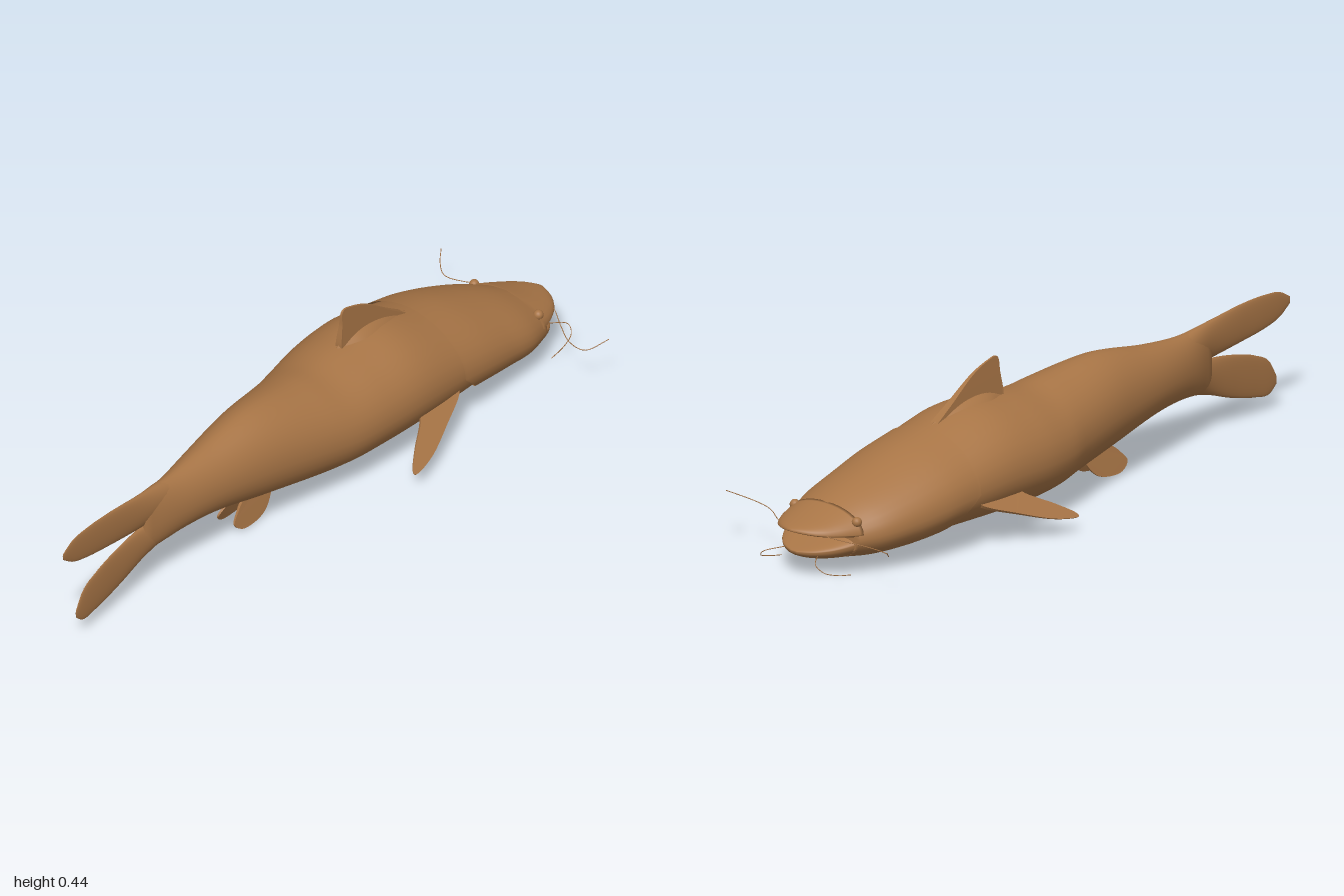
import * as THREE from 'three';

const skin = new THREE.MeshStandardMaterial({ color: 0xa87546, side: THREE.DoubleSide });
skin.name = 'brown skin';

// Skin a row of stations [z, centreX, halfWidth, top, bottom] with rounded sections.
// mid: height of the widest point; up/low: roundness of each half; shear: pulls the lower rear edge forward.
function loft(name, stations, { mid = 0.45, up = 1.1, low = 0.8, shear = 0, steps = 40, sides = 36, capEnd = true } = {}) {
  const spline = new THREE.CubicInterpolant(
    stations.map(s => s[0]), stations.flatMap(s => s.slice(1)), 4);
  const z0 = stations[0][0], z1 = stations[stations.length - 1][0];
  const pos = [], idx = [];
  for (let i = 0; i <= steps; i++) {
    const t = i / steps, z = z0 + (z1 - z0) * t;
    const [cx, hw, top, bottom] = Array.from(spline.evaluate(z));
    const cy = bottom + (top - bottom) * mid;
    for (let j = 0; j < sides; j++) {
      const a = j / sides * Math.PI * 2, c = Math.cos(a), s = Math.sin(a);
      const e = s > 0 ? up : low;
      const x = cx + hw * Math.sign(c) * Math.abs(c) ** e;
      const y = cy + s * (s > 0 ? top - cy : cy - bottom);
      pos.push(x, y, z - shear * t * t * Math.max(0, -s));
    }
  }
  for (let i = 0; i < steps; i++) for (let j = 0; j < sides; j++) {
    const a = i * sides + j, b = i * sides + (j + 1) % sides;
    idx.push(a, b, b + sides, a, b + sides, a + sides);
  }
  // End caps
  const cap = (s, ring, flip) => {
    const k = pos.length / 3;
    pos.push(s[1], s[4] + (s[3] - s[4]) * mid, s[0]);
    for (let j = 0; j < sides; j++) {
      const a = ring * sides + j, b = ring * sides + (j + 1) % sides;
      if (flip) idx.push(k, b, a); else idx.push(k, a, b);
    }
  };
  cap(stations[0], 0, true);
  if (capEnd) cap(stations[stations.length - 1], steps, false);
  const g = new THREE.BufferGeometry();
  g.setAttribute('position', new THREE.Float32BufferAttribute(pos, 3));
  g.setIndex(idx);
  g.computeVertexNormals();
  const mesh = new THREE.Mesh(g, skin);
  mesh.name = name;
  return mesh;
}

// Flat fin: outline points are [z, distance outward], thinning towards the tip.
function fin(name, points, origin, outward, thick, reach) {
  const shape = new THREE.Shape();
  shape.moveTo(...points[0]);
  shape.splineThru(points.slice(1).map(p => new THREE.Vector2(...p)));
  shape.closePath();
  const g = new THREE.ExtrudeGeometry(shape, { depth: 1, bevelEnabled: false, curveSegments: 28 });
  const p = g.attributes.position;
  for (let i = 0; i < p.count; i++) {
    const t = THREE.MathUtils.clamp(p.getY(i) / reach, 0, 1);
    p.setZ(i, (p.getZ(i) - 0.5) * thick * (1 - 0.8 * t));
  }
  g.computeVertexNormals();
  const X = new THREE.Vector3(0, 0, 1), Y = new THREE.Vector3(...outward).normalize();
  g.applyMatrix4(new THREE.Matrix4().makeBasis(X, Y, X.clone().cross(Y)).setPosition(...origin));
  const mesh = new THREE.Mesh(g, skin);
  mesh.name = name;
  return mesh;
}

function whisker(name, points) {
  const curve = new THREE.CatmullRomCurve3(points.map(p => new THREE.Vector3(...p)));
  const mesh = new THREE.Mesh(new THREE.TubeGeometry(curve, 32, 0.0012, 5), skin);
  mesh.name = name;
  return mesh;
}

export function createModel() {
  const fish = new THREE.Group();
  fish.name = 'catfish';

  // Trunk, tapering to the tail stem
  fish.add(loft('trunk', [
    [-0.66, -0.034, 0.175, 0.262, 0.05],
    [-0.5, -0.035, 0.192, 0.307, 0.048],
    [-0.34, -0.035, 0.2, 0.345, 0.045],
    [-0.2, -0.035, 0.193, 0.338, 0.046],
    [-0.08, -0.028, 0.176, 0.328, 0.052],
    [0, -0.022, 0.157, 0.336, 0.06],
    [0.2, -0.017, 0.117, 0.35, 0.09],
    [0.4, -0.014, 0.079, 0.322, 0.128],
    [0.52, -0.009, 0.055, 0.311, 0.134],
    [0.6, -0.005, 0.036, 0.312, 0.128],
    [0.66, -0.002, 0.016, 0.31, 0.125],
  ], { steps: 60 }));

  // Head shell, its rear edge forming the gill cover
  fish.add(loft('head', [
    [-0.88, -0.008, 0.128, 0.18, 0.044],
    [-0.8, -0.018, 0.163, 0.217, 0.037],
    [-0.7, -0.029, 0.183, 0.255, 0.038],
    [-0.6, -0.034, 0.195, 0.288, 0.041],
    [-0.49, -0.035, 0.199, 0.315, 0.043],
  ], { shear: 0.13, capEnd: false }));

  // Open jaws
  fish.add(loft('upperJaw', [
    [-0.995, 0, 0.012, 0.142, 0.135],
    [-0.985, 0, 0.04, 0.146, 0.131],
    [-0.96, -0.001, 0.077, 0.154, 0.124],
    [-0.92, -0.004, 0.108, 0.167, 0.117],
    [-0.86, -0.01, 0.136, 0.189, 0.108],
  ], { mid: 0.2, up: 0.95, low: 0.5, steps: 16 }));
  fish.add(loft('lowerJaw', [
    [-0.978, 0, 0.012, 0.076, 0.067],
    [-0.965, 0, 0.045, 0.081, 0.059],
    [-0.94, -0.002, 0.08, 0.09, 0.051],
    [-0.91, -0.005, 0.106, 0.101, 0.046],
    [-0.86, -0.01, 0.134, 0.12, 0.042],
  ], { mid: 0.75, up: 0.5, low: 0.9, steps: 16 }));

  // Forked tail
  fish.add(loft('upperTailLobe', [
    [0.48, -0.008, 0.04, 0.3, 0.21],
    [0.58, -0.006, 0.03, 0.312, 0.212],
    [0.68, 0, 0.016, 0.322, 0.215],
    [0.8, 0.005, 0.009, 0.334, 0.227],
    [0.9, 0.008, 0.006, 0.335, 0.241],
    [0.96, 0.01, 0.004, 0.327, 0.258],
    [1, 0.012, 0.002, 0.305, 0.285],
  ], { mid: 0.5, up: 1, low: 1, sides: 24 }));
  fish.add(loft('lowerTailLobe', [
    [0.48, -0.008, 0.04, 0.225, 0.142],
    [0.58, -0.006, 0.03, 0.222, 0.13],
    [0.66, 0, 0.016, 0.215, 0.112],
    [0.76, 0.004, 0.009, 0.2, 0.078],
    [0.86, 0.008, 0.006, 0.172, 0.054],
    [0.92, 0.01, 0.004, 0.138, 0.05],
    [0.945, 0.011, 0.002, 0.095, 0.07],
  ], { mid: 0.5, up: 1, low: 1, sides: 24 }));

  // Fin on the back
  fish.add(fin('dorsalFin', [
    [-0.48, -0.01], [-0.4, 0.042], [-0.315, 0.1], [-0.25, 0.127], [-0.212, 0.13],
    [-0.205, 0.085], [-0.197, 0.03], [-0.2, -0.01],
  ], [-0.035, 0.315, 0], [0, 1, 0], 0.026, 0.13));
  // Low fleshy mound under the back fin
  fish.add(loft('dorsalFinBase', [
    [-0.48, -0.035, 0.01, 0.312, 0.29],
    [-0.36, -0.035, 0.05, 0.355, 0.29],
    [-0.27, -0.035, 0.055, 0.361, 0.29],
    [-0.19, -0.035, 0.02, 0.34, 0.29],
  ], { mid: 0.1, up: 1.6, steps: 20, sides: 24 }));

  for (const s of [1, -1]) {
    const side = s > 0 ? 'left' : 'right';
    // Side fins behind the gills
    fish.add(fin(side + 'PectoralFin', [
      [-0.49, -0.03], [-0.47, 0.01], [-0.38, 0.058], [-0.28, 0.106], [-0.2, 0.126],
      [-0.19, 0.112], [-0.24, 0.066], [-0.31, 0.012], [-0.33, -0.03],
    ], [-0.035 + s * 0.182, 0.13, 0], [s * 0.76, -0.65, 0], 0.01, 0.12));
    // Paired belly fins
    fish.add(fin(side + 'PelvicFin', [
      [0.1, -0.03], [0.115, 0.015], [0.15, 0.07], [0.19, 0.093], [0.255, 0.096],
      [0.288, 0.07], [0.26, 0.035], [0.235, 0.01], [0.24, -0.03],
    ], [-0.02 + s * 0.01, 0.098, 0], [s * 0.28, -0.96, 0], 0.012, 0.09));
    // Eyes
    const eye = new THREE.Mesh(new THREE.SphereGeometry(0.014, 16, 12), skin);
    eye.name = side + 'Eye';
    eye.position.set(-0.012 + s * 0.113, 0.157, -0.865);
    fish.add(eye);
    // Short whiskers under the chin
    fish.add(whisker(side + 'ChinWhisker', [
      [s * 0.06, 0.068, -0.95], [s * 0.095, 0.058, -0.995], [s * 0.115, 0.04, -0.985],
      [s * 0.125, 0.024, -0.94], [s * 0.126, 0.014, -0.89],
    ]));
  }

  // Long whiskers beside the mouth
  fish.add(whisker('leftLongWhisker', [
    [0.055, 0.135, -0.96], [0.1, 0.133, -0.935], [0.16, 0.13, -0.89],
    [0.22, 0.124, -0.855], [0.28, 0.128, -0.85], [0.32, 0.155, -0.9],
  ]));
  fish.add(whisker('rightLongWhisker', [
    [-0.055, 0.135, -0.96], [-0.12, 0.123, -0.935], [-0.2, 0.113, -0.905],
    [-0.26, 0.109, -0.9], [-0.3, 0.115, -0.93], [-0.322, 0.137, -0.96],
  ]));
  return fish;
}
